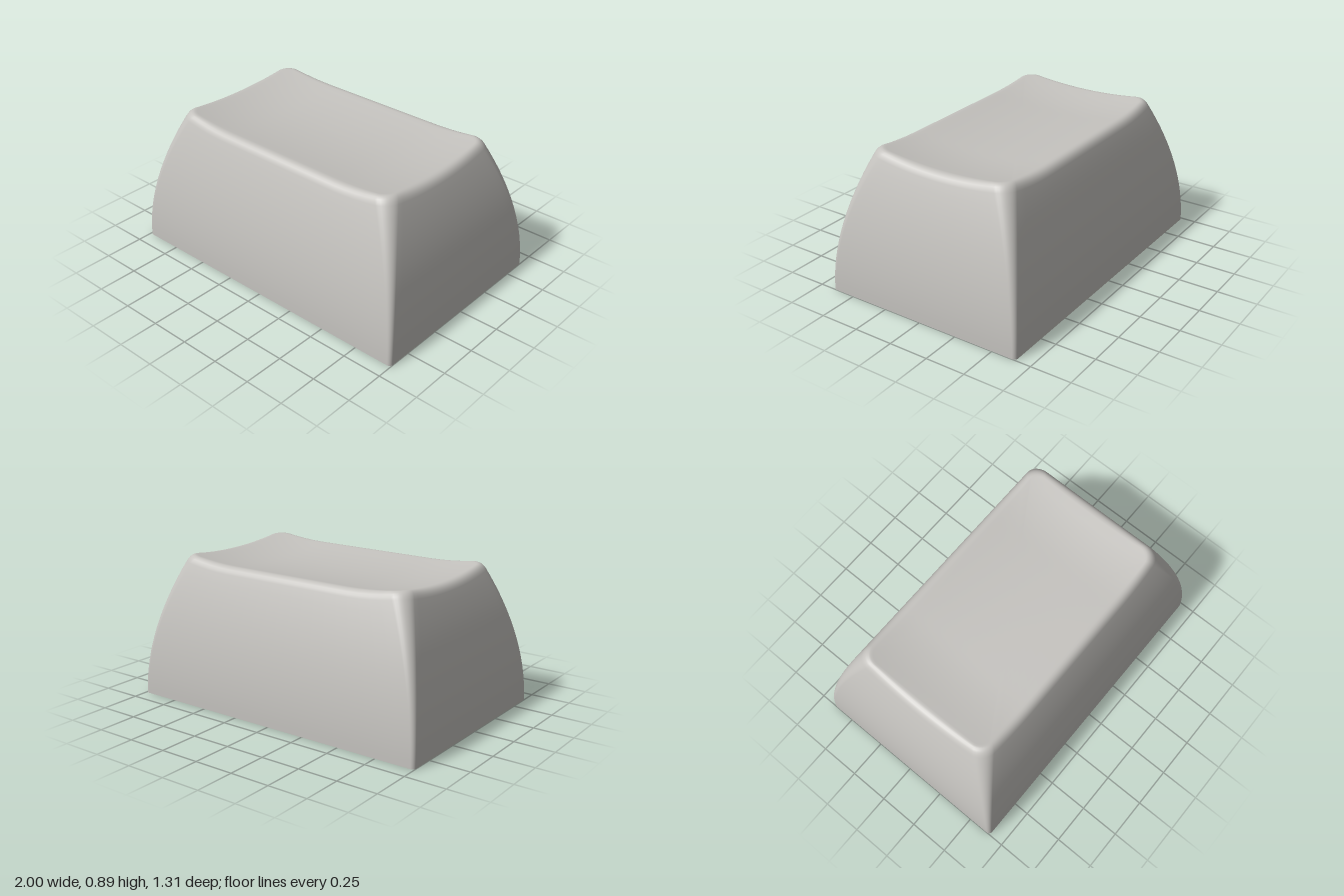
import * as THREE from 'three';

const ARC = 8, SIDE = 20;

// Points [x, z] around a rounded rectangle, with extra points on its straight sides
function outline(hx, hz, r) {
  const pts = [];
  const corners = [[1, 1], [-1, 1], [-1, -1], [1, -1]];
  corners.forEach(([sx, sz], q) => {
    for (let i = 0; i <= ARC; i++) {
      const a = (q + i / ARC) * Math.PI / 2;
      pts.push([sx * (hx - r) + r * Math.cos(a), sz * (hz - r) + r * Math.sin(a)]);
    }
    const [x0, z0] = pts[pts.length - 1];
    const [nx, nz] = corners[(q + 1) % 4];
    const odd = q % 2;
    const x1 = odd ? nx * hx : nx * (hx - r);
    const z1 = odd ? nz * (hz - r) : nz * hz;
    // the side runs to where the next corner's arc begins
    const end = q === 0 ? [-(hx - r), hz] : q === 1 ? [-hx, -(hz - r)] : q === 2 ? [hx - r, -hz] : [hx, hz - r];
    for (let i = 1; i < SIDE; i++) {
      const t = i / SIDE;
      pts.push([x0 + (end[0] - x0) * t, z0 + (end[1] - z0) * t]);
    }
  });
  return pts;
}

// Skin over closed rings of [x, y, z] points
function loft(rings, flat) {
  const n = rings[0].length, index = [];
  for (let k = 0; k < rings.length - 1; k++) {
    for (let i = 0; i < n; i++) {
      const a = k * n + i, b = k * n + (i + 1) % n;
      index.push(a, a + n, b, b, a + n, b + n);
    }
  }
  let geo = new THREE.BufferGeometry();
  geo.setAttribute('position', new THREE.Float32BufferAttribute(rings.flat(2), 3));
  geo.setIndex(index);
  if (flat) geo = geo.toNonIndexed();
  geo.computeVertexNormals();
  return geo;
}

const level = (pts, y) => pts.map(([x, z]) => [x, y, z]);

// Dished top: straight in the middle, rising to the ends and to front and back
const topHeight = (x, z) =>
  0.824 + 0.24 * Math.max(0, Math.abs(x) - 0.4) ** 2 + 0.19 * z * z;

// Outline of the bulging walls at height y
function wallOutline(y, inset = 0) {
  const t = Math.pow(y / 0.86, 1.9);
  return outline(1 - 0.19 * t - inset, 0.655 - 0.18 * t - inset, 0.025 + 0.065 * t - inset * 0.4);
}

function outerShell() {
  const rings = [];
  const base = wallOutline(0.86);
  const crown = wallOutline(0.86, 0.05);
  const rim = base.map(([x, z]) => topHeight(x, z));
  const wallPoint = (i, y) => {
    const [x, z] = wallOutline(y)[i];
    return [x, y, z];
  };
  // walls
  const steps = 16;
  for (let s = 0; s <= steps; s++) {
    rings.push(rim.map((h, i) => wallPoint(i, (h - 0.05) * s / steps)));
  }
  // rounded edge between walls and top
  const start = rings[steps];
  const ctrl = rim.map((h, i) => wallPoint(i, h));
  for (let s = 1; s <= 6; s++) {
    const t = s / 6, a = (1 - t) ** 2, b = 2 * t * (1 - t), c = t * t;
    rings.push(crown.map(([x, z], i) => {
      const e = [x, topHeight(x, z), z];
      return e.map((v, j) => a * start[i][j] + b * ctrl[i][j] + c * v);
    }));
  }
  // dished top, closing to the centre
  for (let s = 1; s <= 14; s++) {
    const f = 1 - s / 14;
    rings.push(crown.map(([x, z]) => [x * f, topHeight(x * f, z * f), z * f]));
  }
  return loft(rings, false);
}

// Round post with a cross-shaped socket
function stemGeometry(height) {
  const shape = new THREE.Shape().absarc(0, 0, 0.2, 0, Math.PI * 2, false);
  const l = 0.148, w = 0.048;
  const cross = [[l, w], [w, w], [w, l], [-w, l], [-w, w], [-l, w],
    [-l, -w], [-w, -w], [-w, -l], [w, -l], [w, -w], [l, -w]];
  shape.holes.push(new THREE.Path(cross.map(([x, y]) => new THREE.Vector2(x, y))));
  const geo = new THREE.ExtrudeGeometry(shape, { depth: height, bevelEnabled: false, curveSegments: 16 });
  return geo.rotateX(-Math.PI / 2);
}

export function createModel() {
  const group = new THREE.Group();
  group.name = 'keycap';
  const plastic = new THREE.MeshStandardMaterial({ color: 0xc4c2be });
  plastic.name = 'warm grey plastic';

  const add = (name, geo) => {
    const mesh = new THREE.Mesh(geo, plastic);
    mesh.name = name;
    group.add(mesh);
  };

  const ceilingY = 0.63;
  const opening = outline(0.915, 0.575, 0.004);
  const ceiling = outline(0.82, 0.475, 0.004);

  add('outerShell', outerShell());
  add('bottomRim', loft([level(opening, 0), level(wallOutline(0), 0)], true));
  add('innerCavity', loft([
    ceiling.map(() => [0, ceilingY, 0]), level(ceiling, ceilingY), level(opening, 0),
  ], true));
  add('stem', stemGeometry(ceilingY));
  return group;
}
